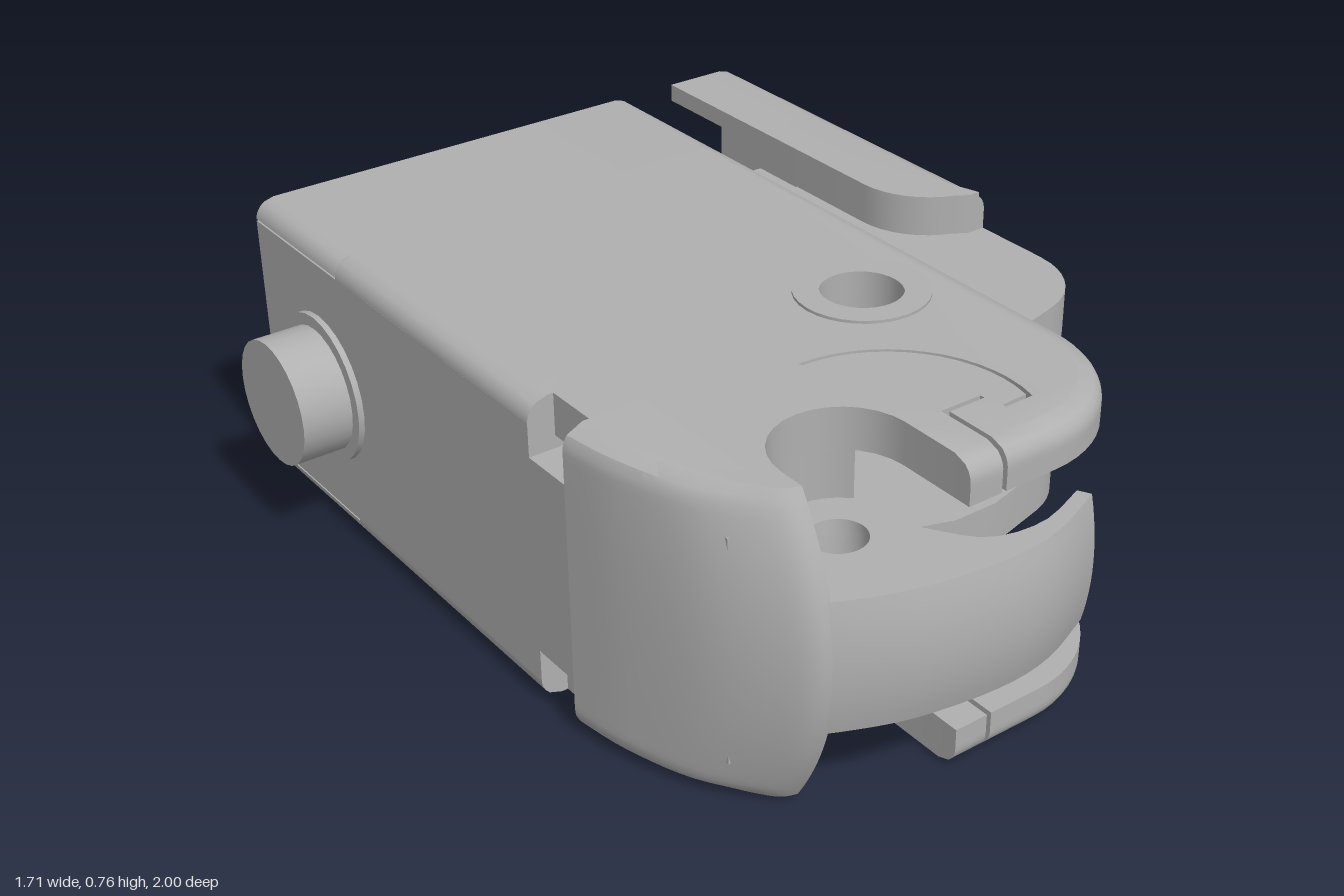
import * as THREE from 'three';
import { toCreasedNormals } from 'three/addons/utils/BufferGeometryUtils.js';
import { ParametricGeometry } from 'three/addons/geometries/ParametricGeometry.js';

const MID = 0.3825; // height of the mirror plane

// arc points in the x/z plane
const arc = (cx, cz, r, a0, a1, n = 14) => Array.from({ length: n + 1 }, (_, i) => {
  const a = a0 + (a1 - a0) * i / n;
  return [cx + r * Math.cos(a), cz + r * Math.sin(a)];
});
const smooth = (pts, n = 20) => new THREE.SplineCurve(pts.map(p => new THREE.Vector2(...p)))
  .getPoints(n).map(p => [p.x, p.y]);
const circle = (x, z, r) => arc(x, z, r, 0, Math.PI * 2, 32).slice(0, -1);
const path = (pts, s) => pts.map(([x, z]) => new THREE.Vector2(x, s * z));

function shapeOf(pts, holes, s) {
  const shape = new THREE.Shape(path(pts, s));
  holes.forEach(h => shape.holes.push(new THREE.Path(path(h, s))));
  return shape;
}

// outline in x/z, raised from y0 to y1
function slab(pts, y0, y1, holes = [], steps = 1) {
  const g = new THREE.ExtrudeGeometry(shapeOf(pts, holes, -1), { depth: y1 - y0, steps, bevelEnabled: false });
  return g.rotateX(-Math.PI / 2).translate(0, y0, 0);
}

// outline in x/y, extruded from z0 to z1
function slabZ(pts, z0, z1, holes = []) {
  const g = new THREE.ExtrudeGeometry(shapeOf(pts, holes, 1), { depth: z1 - z0, bevelEnabled: false });
  return g.translate(0, 0, z0);
}

function box(x0, x1, y0, y1, z0, z1) {
  return new THREE.BoxGeometry(x1 - x0, y1 - y0, z1 - z0)
    .translate((x0 + x1) / 2, (y0 + y1) / 2, (z0 + z1) / 2);
}

function reshape(g, fn) {
  const p = g.attributes.position;
  for (let i = 0; i < p.count; i++) p.setXYZ(i, ...fn(p.getX(i), p.getY(i), p.getZ(i)));
  return g;
}

const clamp = THREE.MathUtils.clamp;
function inset(y, r = 0.05) {
  const s = clamp((y - (0.755 - r)) / r, 0, 1);
  return r * (1 - Math.sqrt(1 - s * s));
}

// rounds the upper outer edge of a plate
const roundRim = (g, lo, hi, zMax) => reshape(g, (x, y, z) => {
  const cx = clamp(x, lo + 0.3, hi - 0.3), cz = Math.min(z, zMax - 0.3);
  const d = Math.hypot(x - cx, z - cz);
  const k = d > 0.28 ? 1 - inset(y) / d : 1;
  return [cx + (x - cx) * k, y, cz + (z - cz) * k];
});

// lets the front recede towards top and bottom
const crown = g => reshape(g, (x, y, z) => {
  const t = (y - MID) / 0.3725;
  return [x, y, z > 0.33 ? 0.33 + (z - 0.33) * (1 - 0.2 * t * t) : z];
});

function mirrored(g) {
  const m = g.clone(), p = m.attributes.position;
  for (let i = 0; i < p.count; i += 3) {
    const v = [0, 2, 1].map(k => [p.getX(i + k), 2 * MID - p.getY(i + k), p.getZ(i + k)]);
    v.forEach((q, k) => p.setXYZ(i + k, ...q));
  }
  return m;
}

export function createModel() {
  const model = new THREE.Group();
  const grey = new THREE.MeshStandardMaterial({ color: 0xb0b0b0 });
  grey.name = 'metal grey';

  function add(name, geo, both = false) {
    const g = geo.index ? geo.toNonIndexed() : geo;
    (both ? [g, mirrored(g)] : [g]).forEach(part => {
      const mesh = new THREE.Mesh(toCreasedNormals(part, 0.6), grey);
      mesh.name = name;
      model.add(mesh);
    });
  }

  const PI = Math.PI;
  const axle = circle(0.135, 0.23, 0.095);

  // cover plates with hinge cutout, hook slit and curved slit
  const cover = [
    [-0.715, -0.61], [-0.715, 0.2], [-0.65, 0.2], [-0.65, 0.33], [-0.47, 0.33],
    ...arc(-0.315, 0.72, 0.155, PI, 2 * PI), [-0.16, 0.915],
    [-0.075, 0.915], [-0.075, 0.73], [0.03, 0.73], [0.03, 0.742], [-0.063, 0.742], [-0.063, 0.915],
    ...arc(0.07, 0.615, 0.3, PI / 2, 0), [0.37, -0.61],
  ];
  const slit = [...arc(-0.18, 0.71, 0.305, -PI / 2, 0.28), [0.04, 0.795], [0.04, 0.785],
    ...arc(-0.18, 0.71, 0.295, 0.25, -PI / 2)];
  add('coverPlate', roundRim(slab(cover, 0.655, 0.755, [axle, slit], 9), -0.715, 0.37, 0.915), true);
  add('rearLip', roundRim(slab([[-0.715, -1], [-0.715, -0.61], [0.37, -0.61], [0.37, -1]],
    0.71, 0.755, [], 6), -0.715, 0.37, 9), true);
  add('axlePad', slab(circle(0.135, 0.23, 0.155), 0.755, 0.762, [axle]), true);

  // right side wall of the housing
  add('sideWall', box(-0.715, -0.6, 0.06, 0.705, -0.61, 0.2));
  add('notchWall', box(-0.715, -0.6, 0.14, 0.625, 0.2, 0.33));
  add('rearSideWall', box(-0.715, -0.67, 0.06, 0.705, -1, -0.61));

  // rounded front cap
  const cap = slab([...smooth([[-0.715, 0.33], [-0.69, 0.5], [-0.63, 0.7], [-0.53, 0.86], [-0.47, 0.895]]),
    [-0.47, 0.33]], 0.01, 0.755, [], 40);
  reshape(cap, (x, y, z) => {
    const d = inset(MID + Math.abs(y - MID));
    return [-0.47 + (x + 0.47) * (1 - d / 0.245), y, z];
  });
  add('frontCap', crown(cap));

  // curved jaw with hinge lug
  const jaw = [
    ...smooth([[-0.53, 0.86], [-0.45, 0.906], [-0.3, 0.965], [-0.1, 0.995], [0.05, 0.98], [0.2, 0.92]]),
    ...smooth([[0.185, 0.89], [0.05, 0.935], [-0.08, 0.91], [-0.16, 0.8]], 10),
    ...arc(-0.315, 0.72, 0.155, 0, -PI), [-0.53, 0.72],
  ];
  add('jaw', crown(slab(jaw, 0.225, 0.54, [circle(-0.315, 0.72, 0.065)], 12)));

  // fork arms reaching to the left side
  const fork = [
    [-0.6, -0.46], [0.71, -0.46], [0.71, 0.2], ...arc(0.5, 0.2, 0.21, 0.2, 1.3, 8),
    [0.37, 0.45], [0.25, 0.45], [0.1, 0.4], [-0.05, 0.37], [-0.2, 0.38],
    [-0.2, 0.616], ...arc(-0.315, 0.72, 0.155, -0.78, -PI), [-0.6, 0.72],
  ];
  add('forkArm', slab(fork, 0.54, 0.655, [axle]), true);

  // rear bulkhead with motor pocket and stepped rings
  const mx = -0.34;
  add('bulkhead', slabZ([[-0.69, 0.113], [0.69, 0.113], [0.69, 0.652], [-0.69, 0.652]],
    -0.61, -0.46, [circle(mx, MID, 0.25)]));
  const rings = [[0.262, 0], [0.262, 0.02], [0.235, 0.022], [0.225, 0.055], [0.205, 0.06], [0.2, 0.09],
    [0.175, 0.09], [0.175, 0.07], [0.15, 0.07], [0.15, 0.12], [0.001, 0.12], [0.001, 0.16], [0.262, 0.16]];
  const ringProfile = rings.map(([r, d]) => new THREE.Vector2(r, d - 0.615));
  const pocket = new THREE.LatheGeometry([...ringProfile].reverse(), 40);
  // lathe axis turned onto z, profile running from floor to rim
  pocket.rotateX(PI / 2).translate(mx, MID, 0);
  add('motorPocket', pocket);
  model.children.at(-1).material = grey;
  [[0, 0.055], [0.35, 0.05]].forEach(([x, r]) =>
    add('bearingBoss', slabZ(circle(x, MID, r), -0.63, -0.6, [circle(x, MID, r * 0.5)])));

  // left side bracket
  add('bracketWall', box(0.665, 0.71, 0.07, 0.695, -1, -0.46));
  const flange = [[0.5, -0.61], [0.5, -0.2], ...arc(0.69, -0.2, 0.19, PI, PI / 2, 10).slice(1).map(([x, z]) => [x, z]),
    [0.71, 0], [0.71, -0.61]];
  flange.forEach(p => { if (p[1] > -0.015) p[1] = 0; });
  add('bracketFlange', roundRim(slab(flange, 0.65, 0.755, [], 9), -9, 0.71, 9), true);
  add('bracketLip', roundRim(slab([[0.5, -1], [0.5, -0.61], [0.71, -0.61], [0.71, -1]],
    0.71, 0.755, [], 6), -9, 0.71, 9), true);

  // screw posts in the four rear corners
  const post = [[0.004, 0.04], [0.04, 0.004], [0.14, 0.01], [0.13, 0.045], [0.1, 0.06],
    [0.085, 0.085], [0.06, 0.1], [0.045, 0.13], [0.01, 0.14]];
  [[-0.715, 1], [0.71, -1]].forEach(([x, s]) => {
    const place = pts => pts.map(([a, b]) => [x + s * a, 0.755 - b]);
    add('screwPost', slabZ(place(post), -0.998, -0.61, [place(circle(0.05, 0.05, 0.02))]), true);
  });

  // pivot pins with collars
  [-1, 1].forEach(s => [['pivotPin', 0.155, 0.66, 0.855], ['pivotCollar', 0.185, 0.69, 0.73]]
    .forEach(([name, r, a, b]) => add(name, new THREE.CylinderGeometry(r, r, b - a, 28)
      .rotateZ(PI / 2).translate(s * (a + b) / 2, MID, -0.715))));

  // worm drive: motor body, threaded worm and shaft
  const wx = -0.31;
  const rod = (name, r, z0, z1) => add(name, new THREE.CylinderGeometry(r, r, z1 - z0, 28)
    .rotateX(PI / 2).translate(wx, MID, (z0 + z1) / 2));
  rod('motorBody', 0.155, -0.46, -0.03);
  rod('wormCore', 0.125, -0.03, 0.41);
  rod('shaft', 0.09, 0.41, 0.56);
  add('wormThread', new ParametricGeometry((u, v, t) => {
    const a = u * 2 * PI, z = -0.03 + v * 0.44;
    const r = 0.138 + clamp(0.03 * Math.cos(2 * PI * z / 0.1 + a), -0.02, 0.02);
    t.set(wx + r * Math.cos(a), MID + r * Math.sin(a), z);
  }, 36, 88));

  return model;
}
